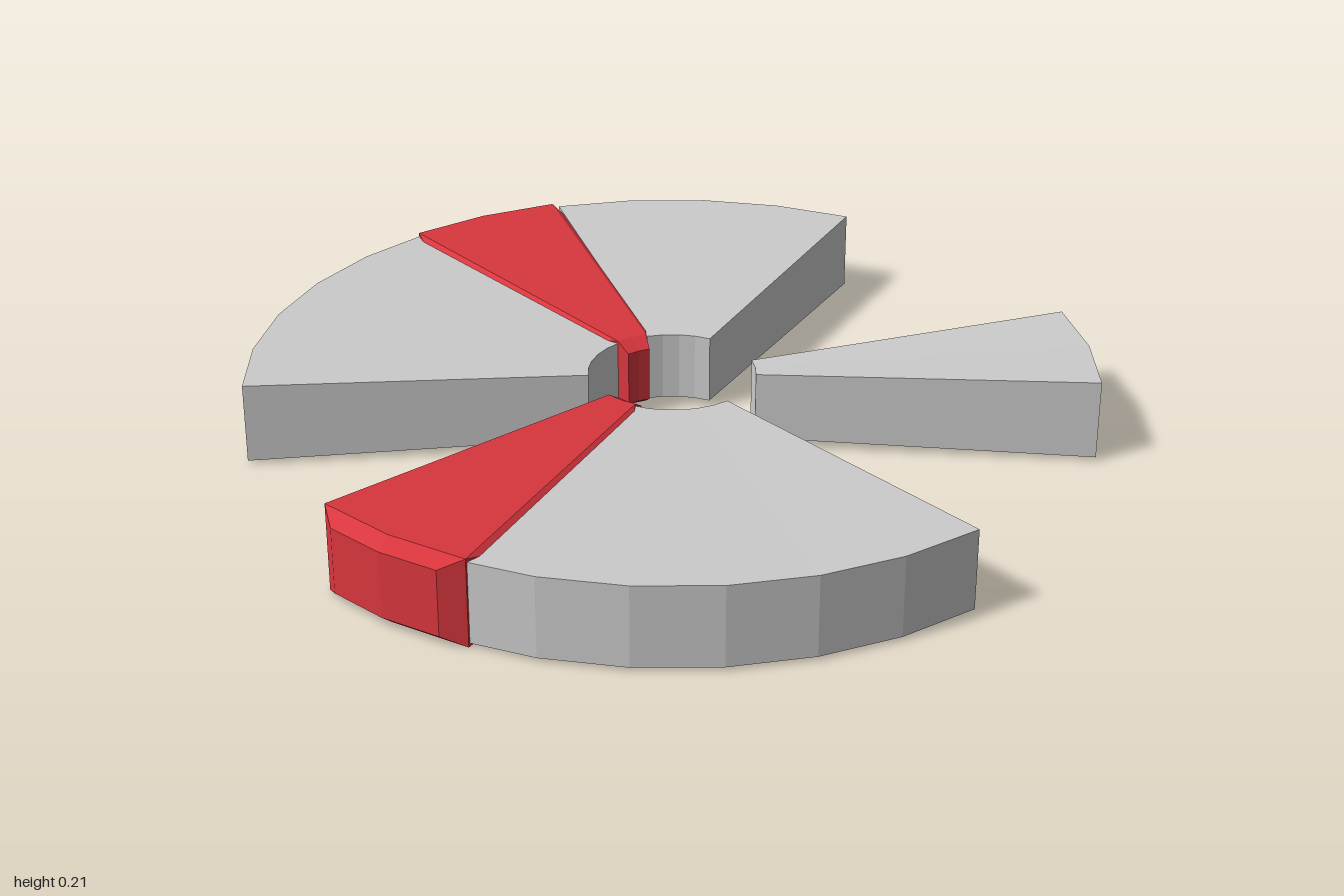
import * as THREE from 'three';

const CENTER = new THREE.Vector3(0.025, 0.106, 0.005);
const R_IN = 0.196, R_OUT = 0.993;
const STEP = Math.PI / 16; // one facet of a 32-sided disc

const grey = new THREE.MeshStandardMaterial({ color: 0xcccccc, flatShading: true });
const red = new THREE.MeshStandardMaterial({ color: 0xd9363e, flatShading: true });

// Point on the ring: radius, angle counter-clockwise seen from above, height from mid-plane
const ringPoint = (r, a, h) =>
  new THREE.Vector3(r * Math.cos(a), h, -r * Math.sin(a)).add(CENTER);

function quadsToMesh(quads, material, name) {
  const points = quads.flatMap(([a, b, c, d]) => [a, b, c, a, c, d]);
  const geometry = new THREE.BufferGeometry().setFromPoints(points);
  geometry.computeVertexNormals();
  const mesh = new THREE.Mesh(geometry, material);
  mesh.name = name;
  return mesh;
}

// Quads between a lower and an upper row of points
function strip(low, high) {
  return low.slice(1).map((p, i) => [low[i], p, high[i + 1], high[i]]);
}

// Wall that is pushed outwards as a chamfered pad
function paddedWall(low, high) {
  const all = [...low, ...high];
  const mid = all.reduce((s, p) => s.add(p), new THREE.Vector3()).divideScalar(all.length);
  const run = low[low.length - 1].clone().sub(low[0]);
  const push = new THREE.Vector3(-run.z, 0, run.x).setLength(0.035);
  const inset = (p) => p.clone().sub(mid).multiplyScalar(0.75).add(mid).add(push);
  const low2 = low.map(inset), high2 = high.map(inset);
  const n = low.length - 1;
  return [
    ...strip(low2, high2),
    ...strip(low, low2),
    ...strip(high2, high),
    [low[0], low2[0], high2[0], high[0]],
    [low2[n], low[n], high[n], high2[n]],
  ];
}

// Ring sector, slightly thinner towards the hub
function sector(name, start, count, { hIn, hOut, material, wall }) {
  const angles = Array.from({ length: count + 1 }, (_, i) => (start + i) * STEP);
  const row = (r, h) => angles.map((a) => ringPoint(r, a, h));
  const inLow = row(R_IN, -hIn), inHigh = row(R_IN, hIn);
  const outLow = row(R_OUT, -hOut), outHigh = row(R_OUT, hOut);
  const flip = (list) => [...list].reverse();
  return quadsToMesh([
    ...strip(outHigh, inHigh), // top
    ...strip(inLow, outLow), // underside
    ...wall(outLow, outHigh), // rim
    ...wall(flip(inLow), flip(inHigh)), // hub side
    ...wall([inLow[0], outLow[0]], [inHigh[0], outHigh[0]]), // two radial ends
    ...wall([outLow[count], inLow[count]], [outHigh[count], inHigh[count]]),
  ], material, name);
}

export function createModel() {
  const group = new THREE.Group();
  group.name = 'segmentedRing';
  const plain = { hIn: 0.083, hOut: 0.097, material: grey, wall: strip };
  const padded = { hIn: 0.089, hOut: 0.106, material: red, wall: paddedWall };

  group.add(
    sector('rightBackSector', 1, 4, plain),
    sector('leftBackSector', 7, 5, plain),
    sector('frontSector', 17, 6, plain),
    sector('smallSector', 27, 2, plain),
    // red wedges, turned slightly off the facet grid
    sector('backWedge', 5.09, 2, padded),
    sector('sideWedge', 15.22, 2, padded),
  );
  return group;
}
